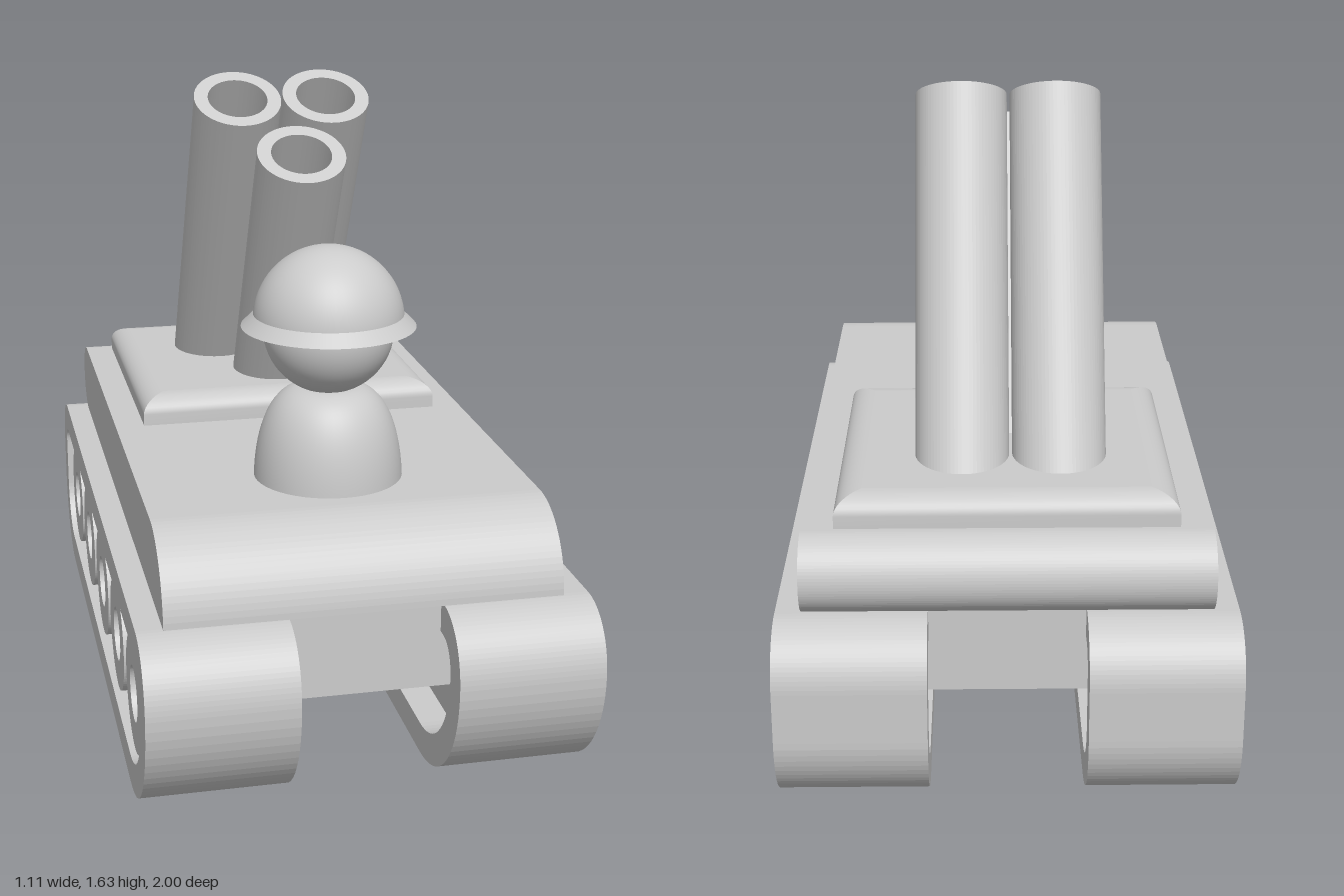
import * as THREE from 'three';

const material = new THREE.MeshStandardMaterial({ color: 0xcccccc, side: THREE.DoubleSide });

function addMesh(parent, name, geometry) {
  const mesh = new THREE.Mesh(geometry, material);
  mesh.name = name;
  parent.add(mesh);
  return mesh;
}

// Extrudes a side outline, drawn in (z, y), across the model from x0 to x1
function extrudeAcross(shape, x0, x1) {
  const geometry = new THREE.ExtrudeGeometry(shape, { depth: x1 - x0, bevelEnabled: false, curveSegments: 20 });
  geometry.rotateY(-Math.PI / 2); // (a, b, depth) -> (-depth, b, a)
  geometry.translate(x1, 0, 0);
  return geometry;
}

// Outlines of the track belt: outer edge, and the inner edge of its rim
function outerTrack(path) {
  path.moveTo(0.85, 0.49);
  path.bezierCurveTo(0.94, 0.49, 1, 0.42, 1, 0.33);
  path.bezierCurveTo(1, 0.16, 0.86, 0, 0.67, 0);
  path.lineTo(-0.78, 0);
  path.bezierCurveTo(-0.9, 0, -1, 0.1, -1, 0.22);
  path.lineTo(-1, 0.35);
  path.bezierCurveTo(-1, 0.43, -0.94, 0.49, -0.86, 0.49);
  path.closePath();
  return path;
}

function innerTrack(path) {
  path.moveTo(0.85, 0.41);
  path.bezierCurveTo(0.89, 0.41, 0.92, 0.38, 0.92, 0.33);
  path.bezierCurveTo(0.92, 0.2, 0.81, 0.08, 0.67, 0.08);
  path.lineTo(-0.78, 0.08);
  path.bezierCurveTo(-0.86, 0.08, -0.92, 0.14, -0.92, 0.22);
  path.lineTo(-0.92, 0.35);
  path.bezierCurveTo(-0.92, 0.39, -0.89, 0.41, -0.86, 0.41);
  path.closePath();
  return path;
}

// Closed tube standing on y = 0, with flat end rings
function tubeGeometry(outer, inner, length, segments = 40) {
  const shape = new THREE.Shape().absarc(0, 0, outer, 0, Math.PI * 2, false);
  shape.holes.push(new THREE.Path().absarc(0, 0, inner, 0, Math.PI * 2, true));
  const geometry = new THREE.ExtrudeGeometry(shape, { depth: length, bevelEnabled: false, curveSegments: segments });
  return geometry.rotateX(-Math.PI / 2);
}

function createTrack(side) {
  const track = new THREE.Group();
  track.name = side > 0 ? 'leftTrack' : 'rightTrack';
  const across = (shape, a, b) => extrudeAcross(shape, Math.min(side * a, side * b), Math.max(side * a, side * b));

  const belt = outerTrack(new THREE.Shape());
  belt.holes.push(innerTrack(new THREE.Path()));
  addMesh(track, 'trackBelt', across(belt, 0.19, 0.555));
  addMesh(track, 'trackWeb', across(innerTrack(new THREE.Shape()), 0.27, 0.5));

  // Five road wheels with recessed hubs
  for (let i = 0; i < 5; i++) {
    const wheel = addMesh(track, 'roadWheel', tubeGeometry(0.148, 0.07, 0.06));
    wheel.rotation.z = -side * Math.PI / 2;
    wheel.position.set(side * 0.485, 0.255, 0.7 - i * 0.3475);
  }
  return track;
}

// Plate with mitred corners and a rounded upper edge, from stacked rectangles
function platformGeometry(halfX, halfZ, height, roundX, roundY) {
  const levels = [[0, 0]];
  for (let i = 0; i <= 8; i++) {
    const a = (i / 8) * Math.PI / 2;
    levels.push([roundX * (1 - Math.cos(a)), height - roundY * (1 - Math.sin(a))]);
  }
  const corners = [[1, 1], [1, -1], [-1, -1], [-1, 1]];
  const positions = [], index = [];
  // Each side has its own vertices, so the mitres stay sharp
  for (let s = 0; s < 4; s++) {
    const base = positions.length / 3;
    levels.forEach(([inset, y], i) => {
      for (const [cx, cz] of [corners[s], corners[(s + 1) % 4]]) {
        positions.push(cx * (halfX - inset), y, cz * (halfZ - inset));
      }
      if (i > 0) {
        const k = base + 2 * (i - 1);
        index.push(k, k + 1, k + 3, k, k + 3, k + 2);
      }
    });
  }
  // Flat top and bottom
  for (const [inset, y, up] of [[roundX, height, true], [0, 0, false]]) {
    const k = positions.length / 3;
    for (const [cx, cz] of corners) positions.push(cx * (halfX - inset), y, cz * (halfZ - inset));
    index.push(...(up ? [k, k + 1, k + 2, k, k + 2, k + 3] : [k, k + 2, k + 1, k, k + 3, k + 2]));
  }
  const geometry = new THREE.BufferGeometry();
  geometry.setAttribute('position', new THREE.Float32BufferAttribute(positions, 3));
  geometry.setIndex(index);
  geometry.computeVertexNormals();
  return geometry;
}

function createGunner() {
  const gunner = new THREE.Group();
  gunner.name = 'gunner';
  gunner.position.z = 0.428;

  // Bell-shaped torso
  const curve = new THREE.CubicBezierCurve(
    new THREE.Vector2(0.19, 0.68), new THREE.Vector2(0.185, 0.83),
    new THREE.Vector2(0.14, 0.925), new THREE.Vector2(0.06, 0.925));
  addMesh(gunner, 'torso', new THREE.LatheGeometry([...curve.getPoints(20), new THREE.Vector2(0, 0.925)], 48));

  addMesh(gunner, 'head', new THREE.SphereGeometry(0.165, 48, 32)).position.y = 1.075;

  // Helmet dome and its flared brim
  const dome = addMesh(gunner, 'helmetDome', new THREE.SphereGeometry(0.19, 48, 20, 0, Math.PI * 2, 0, Math.PI / 2));
  dome.position.y = 1.095;
  const brim = [[0.187, 1.115], [0.22, 1.082]].map(([r, y]) => new THREE.Vector2(r, y)).reverse();
  addMesh(gunner, 'helmetBrim', new THREE.LatheGeometry(brim, 48));
  const under = [[0.15, 1.082], [0.22, 1.082]].map(([r, y]) => new THREE.Vector2(r, y));
  addMesh(gunner, 'helmetUnderside', new THREE.LatheGeometry(under, 48));
  return gunner;
}

export function createModel() {
  const model = new THREE.Group();
  model.name = 'rocketTank';

  for (const side of [1, -1]) model.add(createTrack(side));

  // Chassis between the tracks
  const chassis = addMesh(model, 'chassis', new THREE.BoxGeometry(0.54, 0.235, 1.66));
  chassis.position.set(0, 0.3825, 0);

  // Upper hull with a sloping round nose and a round tail
  const hull = new THREE.Shape();
  hull.moveTo(0.86, 0.49);
  hull.bezierCurveTo(0.86, 0.6, 0.77, 0.69, 0.66, 0.69);
  hull.lineTo(-0.825, 0.69);
  hull.absarc(-0.825, 0.59, 0.1, Math.PI / 2, Math.PI * 1.5, false);
  hull.closePath();
  addMesh(model, 'hull', extrudeAcross(hull, -0.49, 0.49));

  const platform = addMesh(model, 'launcherPlatform', platformGeometry(0.412, 0.39, 0.08, 0.065, 0.045));
  platform.position.set(0, 0.686, -0.425);

  // Three launch tubes leaning forward, placed by their muzzle centres
  const tilt = THREE.MathUtils.degToRad(29);
  for (const [x, y, z] of [[-0.133, 1.575, -0.088], [0.108, 1.575, -0.088], [0, 1.455, 0.107]]) {
    const length = (y - 0.67) / Math.cos(tilt);
    const tube = addMesh(model, 'launchTube', tubeGeometry(0.117, 0.08, length));
    tube.rotation.x = tilt;
    tube.position.set(x, y - length * Math.cos(tilt), z - length * Math.sin(tilt));
  }

  model.add(createGunner());
  return model;
}
